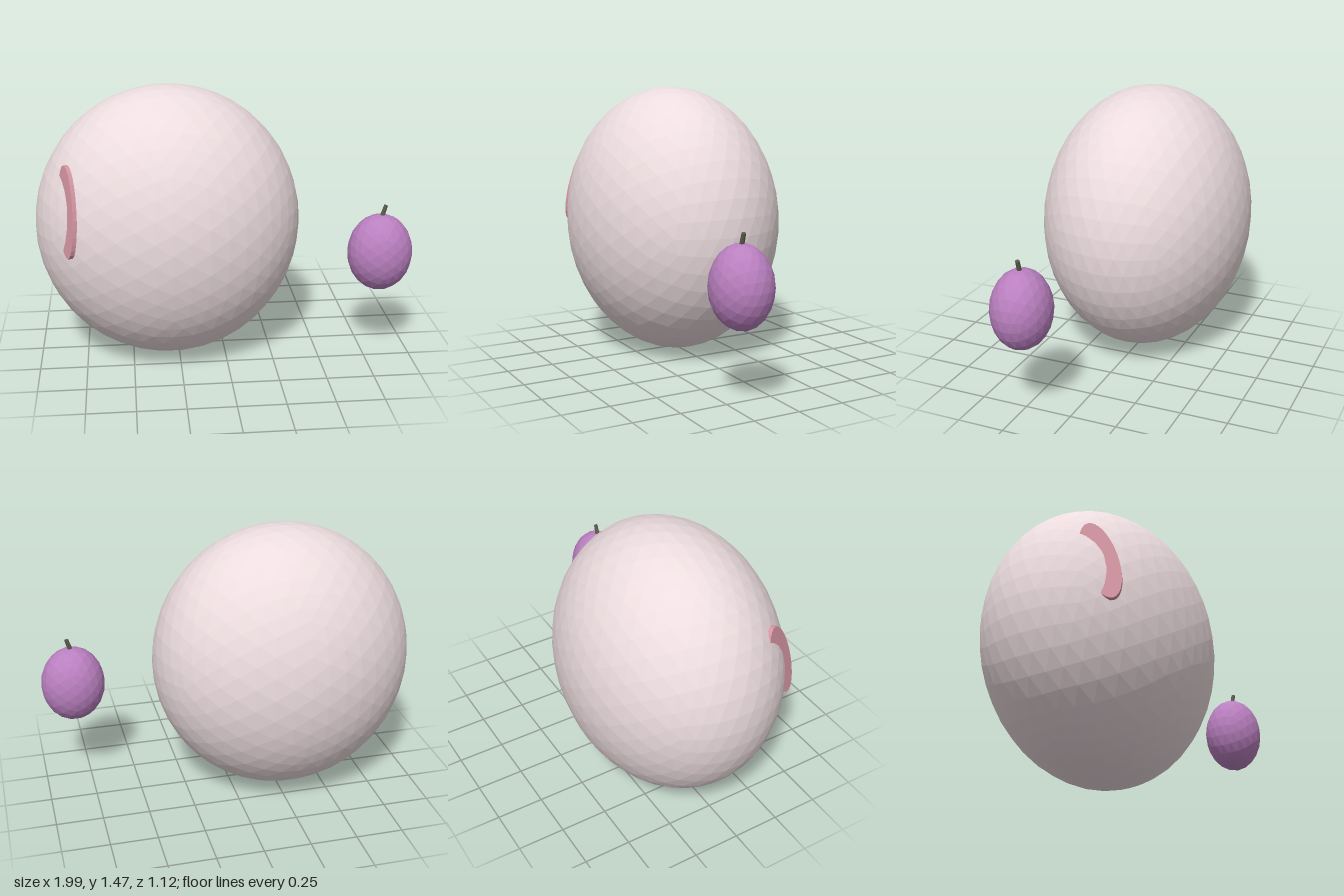
import * as THREE from 'three';

const material = (color) => new THREE.MeshStandardMaterial({ color, flatShading: true });

// Faceted ellipsoid
function ellipsoid(name, radii, position, detail, color) {
  const geometry = new THREE.IcosahedronGeometry(1, detail).scale(...radii);
  const mesh = new THREE.Mesh(geometry, material(color));
  mesh.name = name;
  mesh.position.set(...position);
  return mesh;
}

export function createModel() {
  const model = new THREE.Group();

  // Large pale egg
  model.add(ellipsoid('egg', [0.705, 0.735, 0.56], [-0.295, 0.735, 0], 7, 0xecdcdf));

  // Thin oval disc sunk into the side of the egg
  const disc = new THREE.Mesh(
    new THREE.CylinderGeometry(1, 1, 1, 32).rotateZ(Math.PI / 2).scale(0.022, 0.235, 0.085),
    material(0xd898a4)
  );
  disc.name = 'sideDisc';
  disc.position.set(-0.812, 0.905, 0.33);
  disc.rotation.set(-0.29, 0.49, -0.13, 'YXZ');
  model.add(disc);

  // Purple berry with its leaning stem
  const berry = new THREE.Group();
  berry.name = 'berry';
  berry.add(ellipsoid('berryBody', [0.173, 0.21, 0.155], [0.82, 0.59, 0.215], 3, 0xba80c0));
  const stem = new THREE.Mesh(new THREE.CylinderGeometry(0.011, 0.013, 0.09, 8), material(0x5a5c4c));
  stem.name = 'stem';
  stem.position.set(0.828, 0.807, 0.217);
  stem.rotation.z = -0.3;
  berry.add(stem);
  model.add(berry);

  return model;
}
